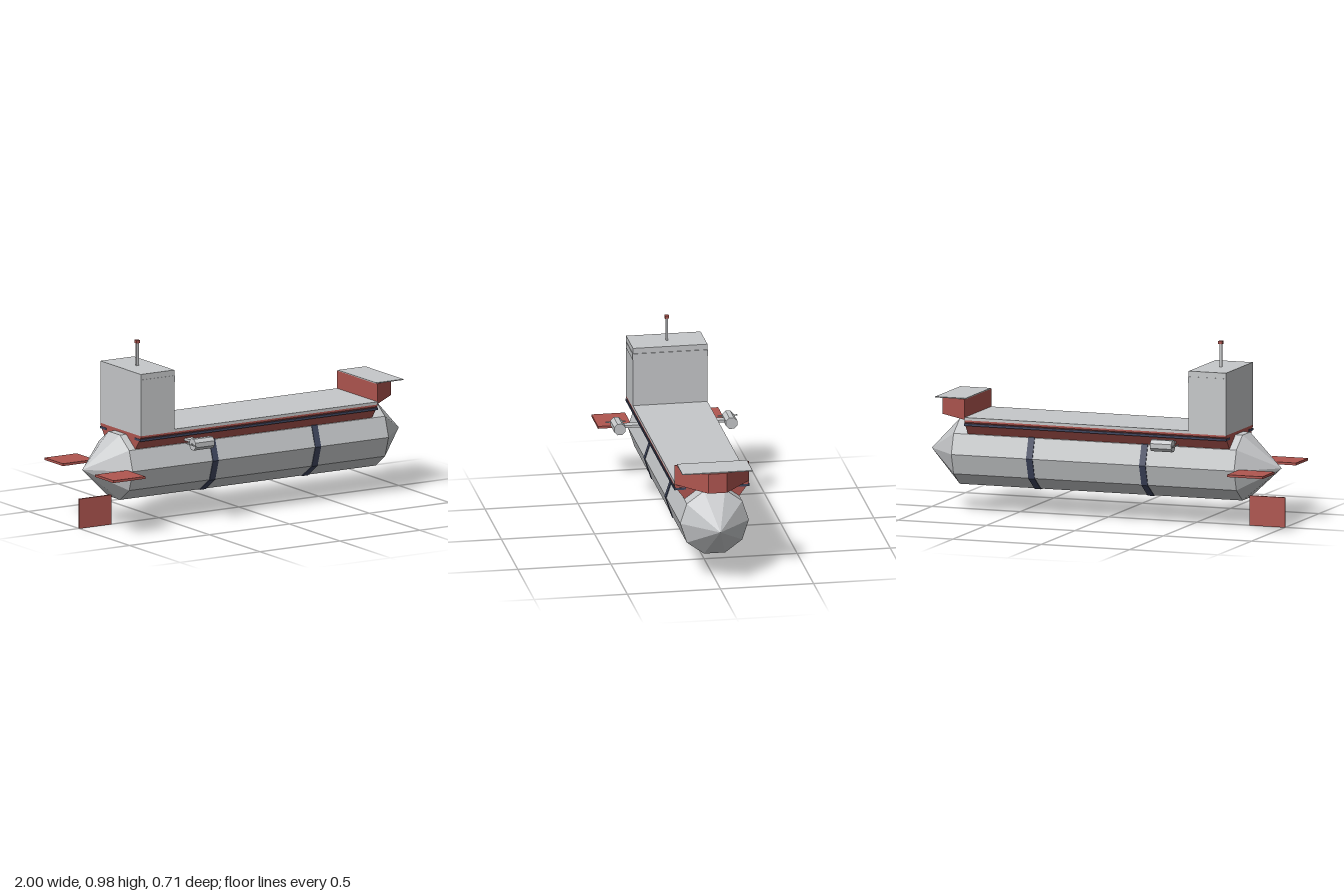
import * as THREE from 'three';

export function createModel() {
  const model = new THREE.Group();
  model.name = 'airship';
  const mat = (name, color) => {
    const m = new THREE.MeshStandardMaterial({ color, flatShading: true });
    m.name = name;
    return m;
  };
  const grey = mat('light grey', 0xc6c8ca);
  const red = mat('brick red', 0xb05650);
  const navy = mat('dark navy', 0x3f465e);

  const add = (name, geometry, material) => {
    const mesh = new THREE.Mesh(geometry, material);
    mesh.name = name;
    model.add(mesh);
    return mesh;
  };
  // Box given by its lower and upper limits on each axis
  const box = (name, material, [x0, x1], [y0, y1], [z0, z1]) =>
    add(name, new THREE.BoxGeometry(x1 - x0, y1 - y0, z1 - z0)
      .translate((x0 + x1) / 2, (y0 + y1) / 2, (z0 + z1) / 2), material);
  // Box on one side of the centre plane; s = 1 or -1
  const sideBox = (name, material, xs, ys, [z0, z1], s) =>
    box(name, material, xs, ys, s > 0 ? [z0, z1] : [-z1, -z0]);
  // Faceted tube along x with end radii r0 (at x0) and r1 (at x1)
  const tubeX = (name, material, x0, x1, r0, r1, y, z, sides, open = false, start = 0) =>
    add(name, new THREE.CylinderGeometry(r1, r0, x1 - x0, sides, 1, open, start)
      .rotateZ(-Math.PI / 2).translate((x0 + x1) / 2, y, z), material);

  // Ten-sided gas hull with pointed ends and two hoops
  const R = 0.184, axis = 0.315;
  tubeX('hull', grey, -0.78, 0.82, R, R, axis, 0, 10, true);
  tubeX('noseCone', grey, 0.82, 1, R, 0, axis, 0, 10, true);
  tubeX('tailCone', grey, -0.98, -0.78, 0, R, axis, 0, 10, true);
  for (const x of [-0.262, 0.378])
    tubeX('hullBand', navy, x - 0.018, x + 0.018, R + 0.004, R + 0.004, axis, 0, 10);

  // Flared cradle between hull and deck
  const cradle = new THREE.Shape([[-0.147, 0.425], [0.147, 0.425], [0.2, 0.495], [0.2, 0.505],
    [-0.2, 0.505], [-0.2, 0.495]].map(p => new THREE.Vector2(...p)));
  add('cradle', new THREE.ExtrudeGeometry(cradle, { depth: 1.48, bevelEnabled: false })
    .rotateY(Math.PI / 2).translate(-0.74, 0, 0), red);
  box('deck', grey, [-0.74, 0.74], [0.505, 0.52], [-0.2, 0.2]);

  // Bridge tower with raised window strip
  box('tower', grey, [-0.74, -0.53], [0.52, 0.84], [-0.2, 0.2]);
  box('towerWindowStrip', grey, [-0.73, -0.526], [0.776, 0.81], [-0.202, 0.202]);

  // Mast and beacon
  box('mast', grey, [-0.643, -0.629], [0.84, 0.965], [-0.006, 0.006]);
  box('beacon', red, [-0.647, -0.625], [0.962, 0.978], [-0.011, 0.011]);

  // Tapered bow house under a thin flat roof
  const bow = new THREE.Shape([[0.74, -0.2], [0.92, -0.05], [0.92, 0.05], [0.74, 0.2]]
    .map(p => new THREE.Vector2(...p)));
  add('bowHouse', new THREE.ExtrudeGeometry(bow, { depth: 0.108, bevelEnabled: false })
    .rotateX(-Math.PI / 2).translate(0, 0.508, 0), red);
  box('bowRoof', grey, [0.738, 0.91], [0.616, 0.621], [-0.188, 0.188]);

  // Tail fins
  box('lowerFin', red, [-1, -0.8], [0, 0.16], [-0.006, 0.006]);

  for (const s of [1, -1]) {
    sideBox('sideFin', red, [-1, -0.8], [0.308, 0.321], [0.16, 0.34], s);
    sideBox('sideRail', navy, [-0.742, 0.742], [0.476, 0.488], [0.14, 0.202], s);
    // Engine pod, strut and propeller blade
    sideBox('engineStrut', grey, [-0.445, -0.4], [0.442, 0.456], [0.15, 0.28], s);
    tubeX('enginePod', grey, -0.48, -0.36, 0.033, 0.033, 0.449, s * 0.3, 8, false, Math.PI / 8);
    tubeX('propellerShaft', grey, -0.492, -0.48, 0.005, 0.005, 0.449, s * 0.3, 6);
    sideBox('propeller', grey, [-0.493, -0.489], [0.446, 0.452], [0.247, 0.353], s);
  }
  return model;
}
